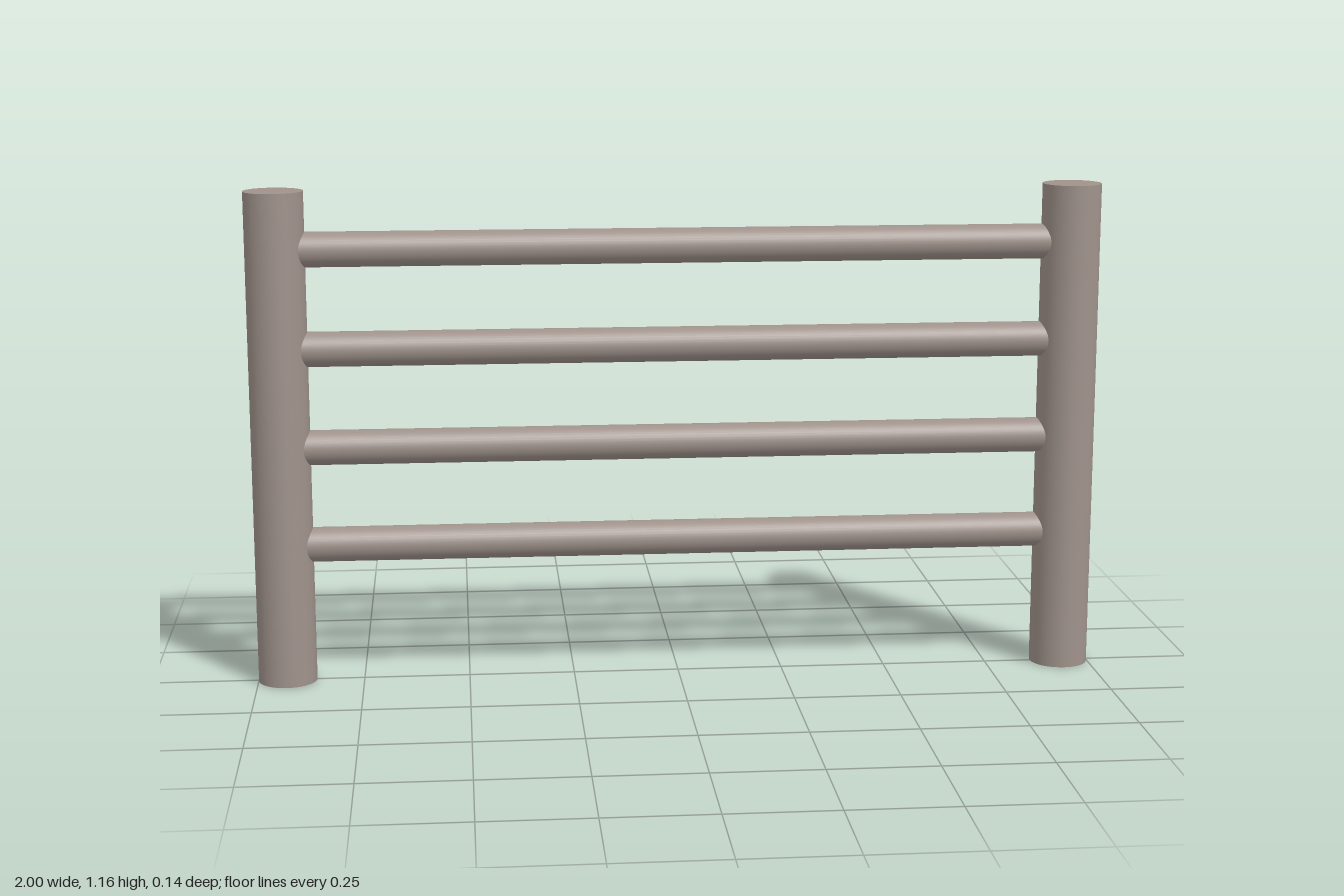
import * as THREE from 'three';

export function createModel() {
  const model = new THREE.Group();
  model.name = 'railFence';
  const wood = new THREE.MeshStandardMaterial({ color: 0x9f928b });
  wood.name = 'weatheredWood';

  const postRadius = 0.069, postHeight = 1.165, postX = 1 - postRadius;
  const railRadius = 0.041;

  // Upright round posts at both ends
  const postGeometry = new THREE.CylinderGeometry(postRadius, postRadius, postHeight, 48);
  for (const side of [-1, 1]) {
    const post = new THREE.Mesh(postGeometry, wood);
    post.name = side > 0 ? 'leftPost' : 'rightPost';
    post.position.set(side * postX, postHeight / 2, 0);
    model.add(post);
  }

  // Four evenly spaced round rails, ending inside the posts
  const railGeometry = new THREE.CylinderGeometry(railRadius, railRadius, 2 * postX, 40);
  railGeometry.rotateZ(Math.PI / 2);
  for (let i = 0; i < 4; i++) {
    const rail = new THREE.Mesh(railGeometry, wood);
    rail.name = `rail${i + 1}`;
    rail.position.y = 0.33 + i * 0.233;
    model.add(rail);
  }
  return model;
}
